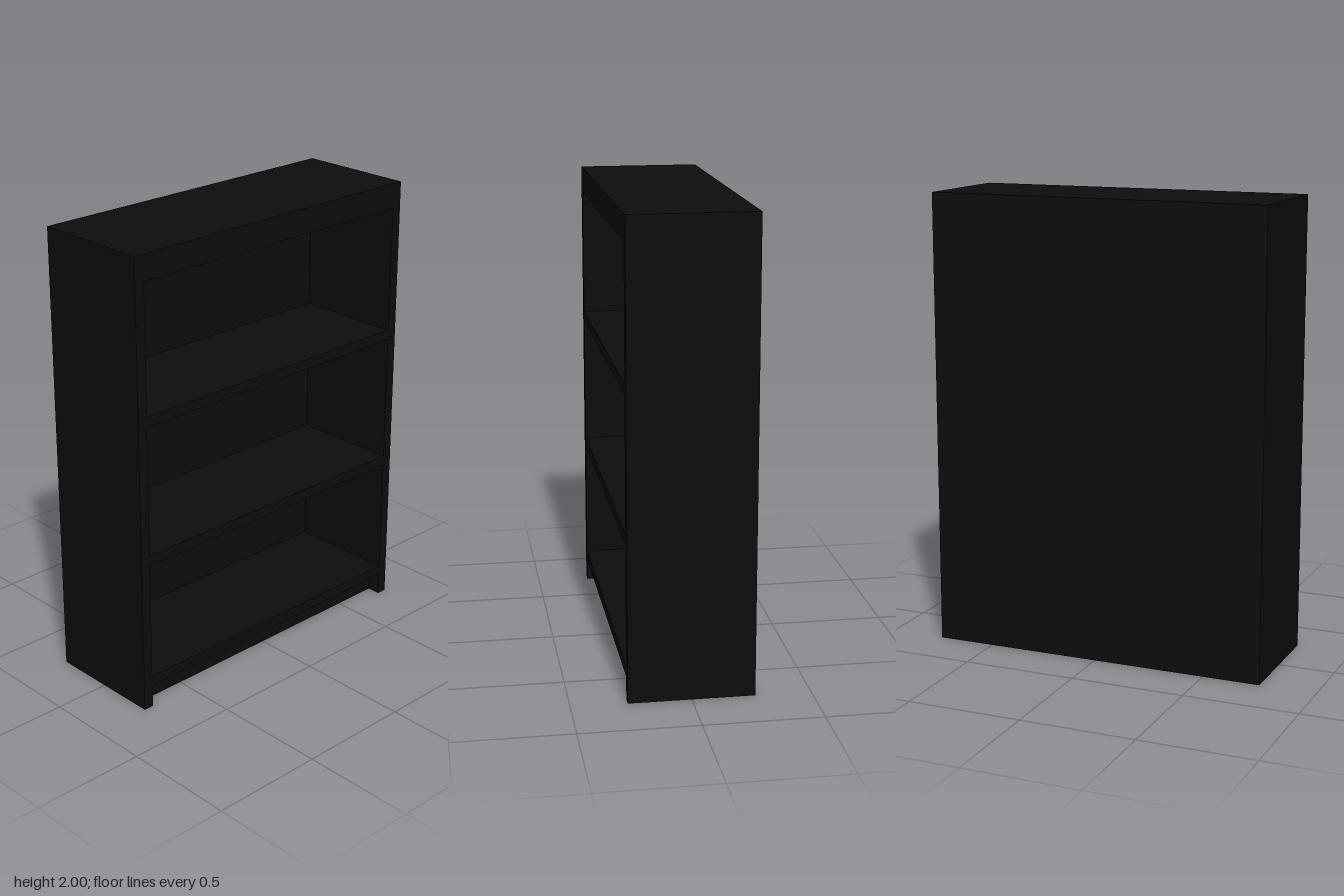
import * as THREE from 'three';

// Overall size and common board thickness
const W = 1.506, H = 2, D = 0.53, T = 0.045;
const INNER = W - 2 * T;
const FRONT = D / 2, BACK = -D / 2, BACK_T = 0.04;

export function createModel() {
  const group = new THREE.Group();
  group.name = 'bookcase';
  const blackWood = new THREE.MeshStandardMaterial({ color: 0x0d0d0d });
  blackWood.name = 'black wood';

  // Board given by its centre x, and its y and z ranges
  function board(name, width, x, y0, y1, z0, z1) {
    const mesh = new THREE.Mesh(new THREE.BoxGeometry(width, y1 - y0, z1 - z0), blackWood);
    mesh.name = name;
    mesh.position.set(x, (y0 + y1) / 2, (z0 + z1) / 2);
    group.add(mesh);
  }

  // Side panels, reaching the floor
  for (const [name, s] of [['leftSide', 1], ['rightSide', -1]]) {
    board(name, T, s * (W - T) / 2, 0, H, BACK, FRONT);
  }

  // Back panel, top board and the rail under its front edge
  board('backPanel', INNER, 0, 0, H, BACK, BACK + BACK_T);
  board('topBoard', INNER, 0, H - T, H, BACK + BACK_T, FRONT);
  board('topRail', INNER, 0, 1.89, H - T, FRONT - T, FRONT);

  // Shelves, listed by the height of their upper faces
  [0.145, 0.715, 1.33].forEach((y, i) => {
    board('shelf' + (i + 1), INNER, 0, y - T, y, BACK + BACK_T, FRONT);
  });

  // Recessed plinth under the bottom shelf
  board('plinth', INNER, 0, 0, 0.1, FRONT - 0.06 - T, FRONT - 0.06);

  return group;
}
